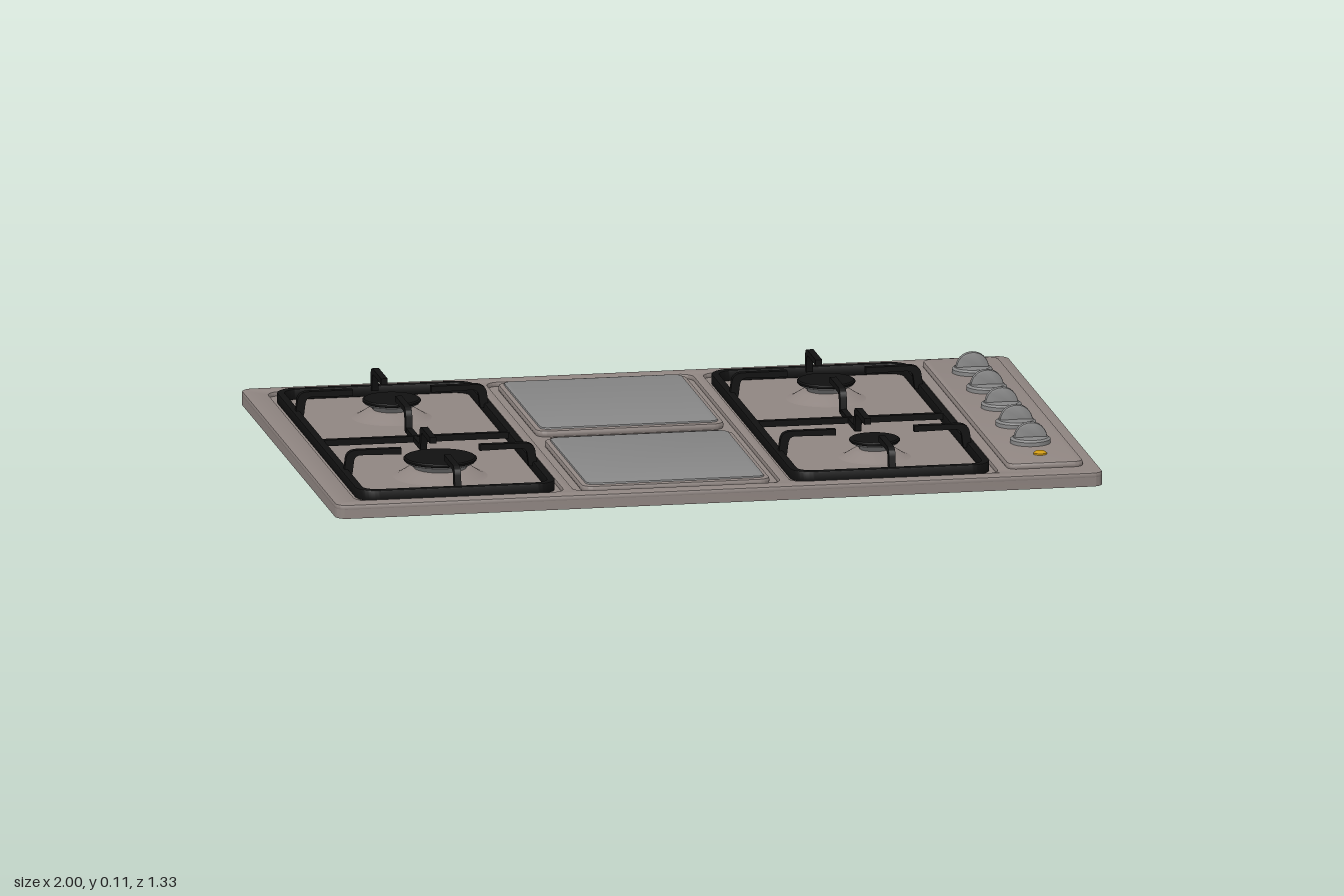
import * as THREE from 'three';
import { toCreasedNormals } from 'three/addons/utils/BufferGeometryUtils.js';

const mat = (color) => new THREE.MeshStandardMaterial({ color });
const steel = mat(0x8f8581);
const grey = mat(0x868686);
const black = mat(0x111111);
const amber = mat(0xd09a10);

function add(parent, name, geometry, material, x = 0, y = 0, z = 0) {
  const mesh = new THREE.Mesh(geometry, material);
  mesh.name = name;
  mesh.position.set(x, y, z);
  parent.add(mesh);
  return mesh;
}

// Rounded rectangle lying in the ground plane
function roundedRect(x0, x1, z0, z1, r) {
  const s = new THREE.Shape();
  s.absarc(x1 - r, -z0 - r, r, 0, Math.PI / 2);
  s.absarc(x0 + r, -z0 - r, r, Math.PI / 2, Math.PI);
  s.absarc(x0 + r, -z1 + r, r, Math.PI, Math.PI * 1.5);
  s.absarc(x1 - r, -z1 + r, r, Math.PI * 1.5, Math.PI * 2);
  s.closePath();
  return s;
}

// Extrude a plan shape from y0 to y1 with chamfered edges
function slab(shape, y0, y1, bevel = 0) {
  const g = new THREE.ExtrudeGeometry(shape, {
    depth: y1 - y0 - 2 * bevel, bevelEnabled: bevel > 0, bevelThickness: bevel,
    bevelSize: bevel, bevelOffset: -bevel, bevelSegments: 2, curveSegments: 8,
  });
  g.translate(0, 0, y0 + bevel);
  g.rotateX(-Math.PI / 2);
  return toCreasedNormals(g, 0.5);
}

function lathe(points) {
  const g = new THREE.LatheGeometry(points.map(([r, y]) => new THREE.Vector2(r, y)), 40);
  return toCreasedNormals(g, 0.5);
}

// Raised pan support: a leg that curves over into a level arm pointing along +x
function fingerGeometry(length) {
  const s = new THREE.Shape();
  s.moveTo(0, 0.04);
  s.lineTo(0.022, 0.04);
  s.lineTo(0.026, 0.072);
  s.quadraticCurveTo(0.028, 0.088, 0.045, 0.088);
  s.lineTo(length, 0.086);
  s.lineTo(length, 0.102);
  s.lineTo(0.035, 0.102);
  s.quadraticCurveTo(0.008, 0.102, 0.005, 0.08);
  s.closePath();
  const g = new THREE.ExtrudeGeometry(s, { depth: 0.017, bevelEnabled: false, curveSegments: 6 });
  g.translate(0, 0, -0.0085);
  return toCreasedNormals(g, 0.6);
}

const FLOOR = 0.024;
const BURNER_Z = 0.333;

function makeGrate(name, cx) {
  const grate = new THREE.Group();
  grate.name = name;
  grate.position.x = cx;
  const w = 0.26, d = 0.588, t = 0.02;

  const ring = roundedRect(-w, w, -d, d, 0.055);
  ring.holes.push(roundedRect(-w + t, w - t, -d + t, d - t, 0.037));
  add(grate, 'grateFrame', slab(ring, FLOOR, 0.052, 0.003), black);
  add(grate, 'grateCrossBar', new THREE.BoxGeometry(2 * w - t, 0.016, 0.016), black, 0, 0.044, 0);
  add(grate, 'grateCentreBar', new THREE.BoxGeometry(0.016, 0.014, 0.21), black, 0, 0.044, 0);

  const geometry = fingerGeometry(0.15);
  const finger = (x, z, angle) => {
    add(grate, 'panSupport', geometry, black, x, 0, z).rotation.y = angle;
  };
  for (const side of [-1, 1]) {
    finger(-w + 0.008, side * BURNER_Z, 0);
    finger(w - 0.008, side * BURNER_Z, Math.PI);
    finger(0, side * (d - 0.006), side * Math.PI / 2);
    finger(0, side * 0.088, -side * Math.PI / 2);
  }
  return grate;
}

function makeBurner(name, x, z, r) {
  const burner = new THREE.Group();
  burner.name = name;
  burner.position.set(x, 0, z);
  add(burner, 'burnerMound', lathe([[r + 0.028, FLOOR], [r + 0.016, 0.028],
    [r - 0.008, 0.043], [r - 0.02, 0.046], [0, 0.046]]), steel);
  add(burner, 'burnerBody', lathe([[r - 0.028, 0.044], [r - 0.022, 0.052],
    [r - 0.004, 0.062], [r - 0.004, 0.066], [0, 0.066]]), grey);
  add(burner, 'burnerCap', lathe([[0, 0.065], [r - 0.002, 0.065], [r, 0.067],
    [r, 0.071], [r - 0.004, 0.074], [0, 0.076]]), black);
  return burner;
}

function makeKnob(z) {
  const knob = new THREE.Group();
  knob.name = 'controlKnob';
  knob.position.set(0.865, 0.052, z);
  add(knob, 'knobBase', lathe([[0.052, -0.002], [0.052, 0.01], [0.046, 0.015], [0, 0.016]]), grey);
  // Half-round grip
  const s = new THREE.Shape();
  s.moveTo(0.043, 0);
  s.lineTo(0.043, 0.016);
  s.bezierCurveTo(0.035, 0.066, -0.035, 0.066, -0.043, 0.016);
  s.lineTo(-0.043, 0);
  s.closePath();
  const grip = new THREE.ExtrudeGeometry(s, {
    depth: 0.01, bevelThickness: 0.003, bevelSize: 0.003, bevelOffset: -0.003,
    bevelSegments: 2, curveSegments: 14,
  });
  grip.translate(0, 0, -0.005);
  add(knob, 'knobGrip', toCreasedNormals(grip, 0.6), grey);
  return knob;
}

export function createModel() {
  const model = new THREE.Group();
  model.name = 'gasHob';

  // Base tray with two burner wells and a middle recess
  const outline = () => roundedRect(-1, 1, -0.667, 0.667, 0.03);
  add(model, 'baseTray', slab(outline(), 0, FLOOR), steel);
  const rim = outline();
  for (const [x0, x1] of [[-0.94, -0.396], [-0.37, 0.168], [0.195, 0.737]]) {
    rim.holes.push(roundedRect(x0, x1, -0.62, 0.617, 0.035));
  }
  add(model, 'topRim', slab(rim, FLOOR - 0.004, 0.036, 0.004), steel);

  // Middle lids
  for (const [name, z0, z1] of [['backLid', -0.594, -0.037], ['frontLid', 0.043, 0.594]]) {
    const lid = new THREE.Group();
    lid.name = name;
    add(lid, 'lidFrame', slab(roundedRect(-0.345, 0.146, z0, z1, 0.03), FLOOR - 0.002, 0.041, 0.006), steel);
    add(lid, 'lidPanel', slab(roundedRect(-0.332, 0.133, z0 + 0.014, z1 - 0.014, 0.022), 0.034, 0.046, 0.004), grey);
    model.add(lid);
  }
  add(model, 'lidHinge', new THREE.BoxGeometry(0.44, 0.014, 0.014), steel, -0.1, 0.03, 0.027);

  // Grates and burners
  model.add(makeGrate('rightGrate', -0.668), makeGrate('leftGrate', 0.465));
  model.add(
    makeBurner('backRightBurner', -0.668, -BURNER_Z, 0.075),
    makeBurner('frontRightBurner', -0.668, BURNER_Z, 0.094),
    makeBurner('backLeftBurner', 0.465, -BURNER_Z, 0.075),
    makeBurner('frontLeftBurner', 0.465, BURNER_Z, 0.065),
  );

  // Control panel
  add(model, 'controlPanel', slab(roundedRect(0.764, 0.963, -0.602, 0.592, 0.025), 0.03, 0.052, 0.008), steel);
  for (let i = 0; i < 5; i++) model.add(makeKnob(-0.434 + i * 0.2));
  add(model, 'indicatorLight', lathe([[0.017, 0.05], [0.017, 0.056], [0.011, 0.06], [0, 0.061]]), amber, 0.865, 0, 0.5);

  return model;
}
